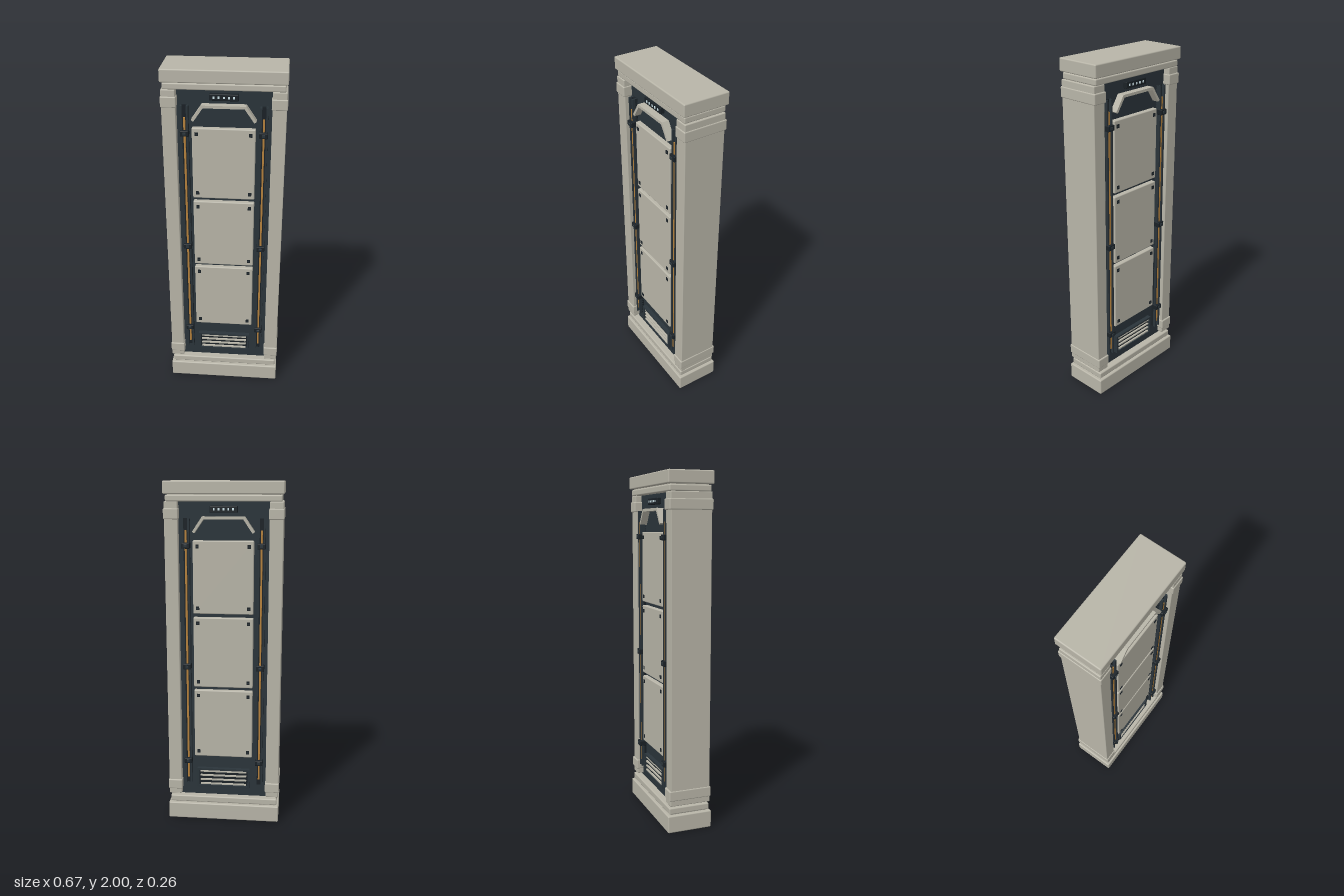
import * as THREE from 'three';
import { RoundedBoxGeometry } from 'three/addons/geometries/RoundedBoxGeometry.js';

const mat = (color) => new THREE.MeshStandardMaterial({ color });
const stone = mat(0xb8b5a8);
const dark = mat(0x2a343a);
const black = mat(0x1a2126);
const gold = mat(0xb5813c);
const light = mat(0xcfe4ea);

// Box given by its centre and size; a bevel radius rounds the edges
function box(parent, name, material, [x, y, z], [w, h, d], bevel = 0) {
  const geometry = bevel ? new RoundedBoxGeometry(w, h, d, 2, bevel) : new THREE.BoxGeometry(w, h, d);
  const mesh = new THREE.Mesh(geometry, material);
  mesh.name = name;
  mesh.position.set(x, y, z);
  parent.add(mesh);
  return mesh;
}

// Box given by its bottom and top heights
const slab = (parent, name, material, x, y0, y1, w, d, bevel, z = 0) =>
  box(parent, name, material, [x, (y0 + y1) / 2, z], [w, y1 - y0, d], bevel);

function createPilaster(side) {
  const pilaster = new THREE.Group();
  pilaster.name = side > 0 ? 'leftPilaster' : 'rightPilaster';
  const x = side * 0.291;
  slab(pilaster, 'foot', stone, x, 0.155, 0.195, 0.076, 0.24, 0.005, 0.003);
  slab(pilaster, 'lowerCollar', stone, x, 0.187, 0.246, 0.084, 0.252, 0.006, 0.002);
  slab(pilaster, 'shaft', stone, x, 0.22, 1.82, 0.076, 0.236, 0.004, 0.003);
  slab(pilaster, 'upperCollar', stone, x, 1.794, 1.853, 0.084, 0.252, 0.006, 0.002);
  slab(pilaster, 'head', stone, x, 1.845, 1.89, 0.076, 0.24, 0.005, 0.003);
  return pilaster;
}

// Angled trim strip over the panels, extruded from its outline
function createArch() {
  const outer = [[-0.173, 1.727], [-0.118, 1.809], [0.118, 1.809], [0.173, 1.727]];
  const inner = [[0.161, 1.719], [0.11, 1.794], [-0.11, 1.794], [-0.161, 1.719]];
  const shape = new THREE.Shape([...outer, ...inner].map(([x, y]) => new THREE.Vector2(x, y)));
  const geometry = new THREE.ExtrudeGeometry(shape, { depth: 0.042, bevelEnabled: false });
  const arch = new THREE.Mesh(geometry, stone);
  arch.name = 'archTrim';
  arch.position.z = 0.078;
  return arch;
}

function createRail(side) {
  const rail = new THREE.Group();
  rail.name = side > 0 ? 'leftRail' : 'rightRail';
  const x = side * 0.211;
  slab(rail, 'channelBack', black, x, 0.225, 1.8, 0.042, 0.018, 0, 0.085);
  for (const s of [-1, 1]) slab(rail, 'channelWall', dark, x + s * 0.016, 0.225, 1.8, 0.01, 0.034, 0, 0.093);
  slab(rail, 'goldStrip', gold, x, 0.262, 1.735, 0.01, 0.014, 0, 0.1);
  for (const y of [0.372, 0.955, 1.65]) {
    box(rail, 'clip', black, [x, y, 0.1], [0.046, 0.032, 0.044], 0.004);
    box(rail, 'clipStud', dark, [x, y, 0.121], [0.018, 0.016, 0.01], 0.002);
  }
  return rail;
}

function createPanel(y0) {
  const panel = new THREE.Group();
  panel.name = 'panel';
  const h = 0.412;
  slab(panel, 'plate', stone, -0.002, y0, y0 + h, 0.342, 0.034, 0.006, 0.089);
  for (const sx of [-1, 1]) {
    for (const sy of [-1, 1]) {
      const y = y0 + h / 2 + sy * (h / 2 - 0.032);
      box(panel, 'screw', black, [sx * 0.145 - 0.002, y, 0.106], [0.018, 0.02, 0.006]);
      box(panel, 'screwSlot', dark, [sx * 0.145 - 0.002, y, 0.1085], [0.01, 0.005, 0.003]);
    }
  }
  return panel;
}

// Everything mounted on one face of the core
function createFace() {
  const face = new THREE.Group();
  for (const y of [0.4, 0.832, 1.266]) face.add(createPanel(y));
  face.add(createArch(), createRail(1), createRail(-1));

  // Indicator strip with five lamps
  box(face, 'indicatorBox', black, [0, 1.848, 0.088], [0.154, 0.036, 0.03], 0.004);
  for (let i = -2; i <= 2; i++) box(face, 'indicatorLamp', light, [i * 0.0265, 1.848, 0.103], [0.01, 0.012, 0.005]);

  // Vent: frame bars around four slats
  const vent = new THREE.Group();
  vent.name = 'vent';
  box(vent, 'ventBack', black, [0, 0.259, 0.083], [0.31, 0.118, 0.014]);
  for (const s of [-1, 1]) {
    box(vent, 'ventSide', dark, [s * 0.151, 0.259, 0.09], [0.012, 0.118, 0.028]);
    box(vent, 'ventBar', dark, [0, 0.259 + s * 0.054, 0.09], [0.314, 0.011, 0.028]);
  }
  for (let i = 0; i < 4; i++) box(vent, 'ventSlat', stone, [0, 0.219 + i * 0.0267, 0.094], [0.276, 0.008, 0.014]);
  vent.position.x = -0.002;
  face.add(vent);
  return face;
}

export function createModel() {
  const model = new THREE.Group();
  model.name = 'column';

  // Stepped base and cap
  slab(model, 'base', stone, 0, 0, 0.1, 0.664, 0.264, 0.007);
  slab(model, 'baseNeck', stone, 0, 0.09, 0.115, 0.62, 0.22, 0.004);
  slab(model, 'baseStep', stone, 0, 0.105, 0.143, 0.642, 0.242, 0.007);
  slab(model, 'capStep', stone, 0, 1.89, 1.925, 0.642, 0.242, 0.007);
  slab(model, 'capNeck', stone, 0, 1.915, 1.94, 0.62, 0.22, 0.004);
  slab(model, 'cap', stone, 0, 1.929, 2, 0.664, 0.264, 0.007);

  // Dark core between the pilasters
  slab(model, 'core', dark, 0, 0.13, 1.9, 0.59, 0.158);
  model.add(createPilaster(1), createPilaster(-1));

  // The same fittings on front and back
  const front = createFace();
  front.name = 'frontFace';
  const back = createFace();
  back.name = 'backFace';
  back.rotation.y = Math.PI;
  model.add(front, back);
  return model;
}
